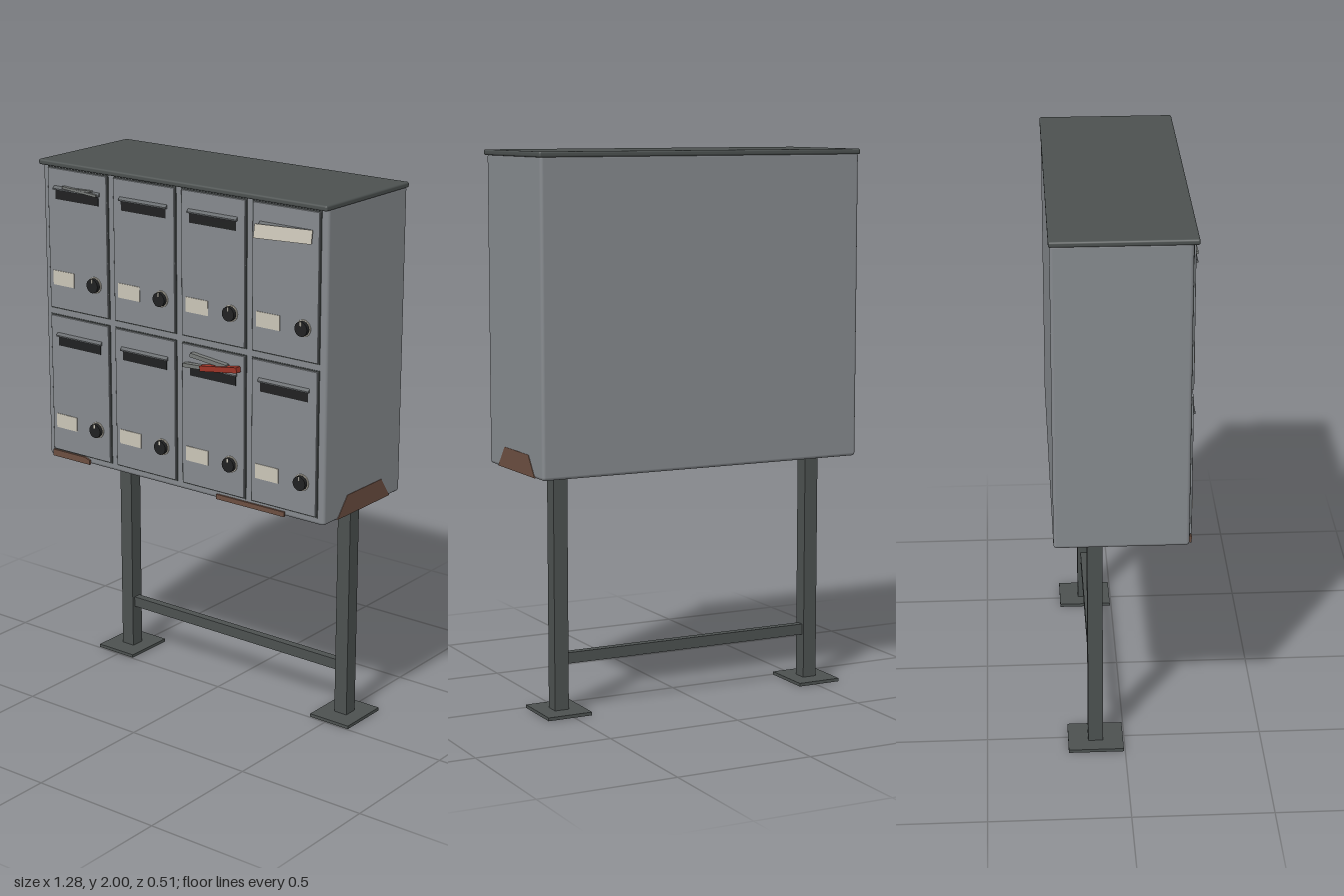
import * as THREE from 'three';
import { RoundedBoxGeometry } from 'three/addons/geometries/RoundedBoxGeometry.js';

const mat = (name, color) => {
  const m = new THREE.MeshStandardMaterial({ color });
  m.name = name;
  return m;
};

export function createModel() {
  const grey = mat('grey cabinet paint', 0x868a8e);
  const dark = mat('dark frame paint', 0x4c5150);
  const slate = mat('hood grey', 0x63676a);
  const black = mat('black', 0x202122);
  const cream = mat('cream paper', 0xcac5b7);
  const rust = mat('rust', 0x6c4f41);
  const red = mat('red paper', 0x9c3427);
  const newsprint = mat('newsprint', 0x777a78);

  const model = new THREE.Group();
  model.name = 'mailboxStand';

  const add = (parent, name, geo, material, x, y, z) => {
    const m = new THREE.Mesh(geo, material);
    m.name = name;
    m.position.set(x, y, z);
    parent.add(m);
    return m;
  };
  const box = (parent, name, material, w, h, d, x, y, z) =>
    add(parent, name, new THREE.BoxGeometry(w, h, d), material, x, y, z);
  // thin plate cut from an outline, facing +z
  const plate = (parent, name, material, pts, depth, x, y, z) => {
    const shape = new THREE.Shape(pts.map(p => new THREE.Vector2(...p)));
    return add(parent, name, new THREE.ExtrudeGeometry(shape, { depth, bevelEnabled: false }), material, x, y, z);
  };

  // cabinet and roof
  add(model, 'cabinet', new RoundedBoxGeometry(1.27, 1.12, 0.47, 2, 0.012), grey, 0, 1.428, -0.016);
  add(model, 'roof', new RoundedBoxGeometry(1.28, 0.02, 0.493, 2, 0.007), dark, 0, 1.99, -0.0085);

  // legs, foot plates and crossbar
  for (const s of [-1, 1]) {
    box(model, 'leg', dark, 0.054, 0.865, 0.054, s * 0.515, 0.4425, -0.105);
    box(model, 'footPlate', dark, 0.17, 0.012, 0.2, s * 0.515, 0.006, -0.105);
  }
  box(model, 'crossbar', dark, 0.98, 0.04, 0.03, 0, 0.196, -0.105);

  // one compartment door with slot, hood, name card and lock
  const hoodProfile = new THREE.Shape([[0, 0], [0.009, 0], [0.009, 0.005], [0, 0.014]].map(p => new THREE.Vector2(...p)));
  const hoodGeo = new THREE.ExtrudeGeometry(hoodProfile, { depth: 0.216, bevelEnabled: false });
  hoodGeo.translate(0, 0, -0.108).rotateY(-Math.PI / 2);
  const mirrored = hoodGeo.clone().rotateY(Math.PI).rotateY(Math.PI); // profile depth runs along +z
  const disc = (r, d) => new THREE.CylinderGeometry(r, r, d, 24).rotateX(Math.PI / 2);
  const makeDoor = (x, y) => {
    const door = new THREE.Group();
    door.name = 'door';
    door.position.set(x, y, 0.219);
    box(door, 'doorGap', dark, 0.286, 0.53, 0.004, 0, 0, 0.001);
    add(door, 'doorPanel', new RoundedBoxGeometry(0.278, 0.522, 0.012, 1, 0.002), grey, 0, 0, 0.003);
    box(door, 'slot', black, 0.204, 0.034, 0.002, 0, 0.166, 0.0095);
    add(door, 'slotHood', mirrored, slate, 0, 0.184, 0.009);
    box(door, 'nameCard', cream, 0.1, 0.054, 0.003, -0.07, -0.145, 0.01);
    add(door, 'lockRing', disc(0.03, 0.004), cream, 0.08, -0.145, 0.011);
    add(door, 'lockKnob', disc(0.026, 0.018), black, 0.08, -0.145, 0.018);
    box(door, 'lockMark', cream, 0.006, 0.014, 0.002, 0.08, -0.127, 0.0275);
    model.add(door);
  };
  for (const y of [1.711, 1.159])
    for (let i = 0; i < 4; i++) makeDoor(-0.466 + 0.3105 * i, y);

  // envelope hanging out of the top right slot
  const envelope = plate(model, 'envelope', cream,
    [[-0.12, -0.03], [0.12, -0.018], [0.12, 0.03], [-0.12, 0.019]], 0.003, 0.464, 1.881, 0.24);
  envelope.rotation.x = -0.15;

  // folded paper in the top left slot
  const folded = box(model, 'foldedPaper', newsprint, 0.16, 0.009, 0.018, -0.445, 1.904, 0.233);
  folded.rotation.z = -0.07;
  const folded2 = box(model, 'foldedPaper', newsprint, 0.13, 0.006, 0.016, -0.455, 1.909, 0.233);
  folded2.rotation.z = 0.03;

  // leaflets stuffed in a bottom slot
  const leaflets = [
    ['leaflet', newsprint, 0.16, 0.015, 0.147, 1.382, 0.236, -0.1],
    ['leaflet', newsprint, 0.18, 0.014, 0.125, 1.352, 0.237, 0.05],
    ['redLeaflet', red, 0.165, 0.02, 0.198, 1.362, 0.243, 0.14],
  ];
  for (const [name, m, w, h, x, y, z, tilt] of leaflets)
    box(model, name, m, w, h, 0.024, x, y, z).rotation.z = tilt;

  // rust along the bottom edges
  plate(model, 'frontRust', rust, [[-0.61, 0], [-0.43, 0], [-0.43, 0.017], [-0.455, 0.025], [-0.61, 0.025]], 0.008, 0, 0.868, 0.22);
  plate(model, 'frontRust', rust, [[0.17, 0], [0.47, 0], [0.47, 0.018], [0.17, 0.018]], 0.008, 0, 0.868, 0.22);
  const sideRust = plate(model, 'sideRust', rust,
    [[-0.14, 0], [0.183, 0], [0.13, 0.075], [-0.08, 0.075]], 0.004, 0.633, 0.87, 0);
  sideRust.rotation.y = Math.PI / 2;

  return model;
}
